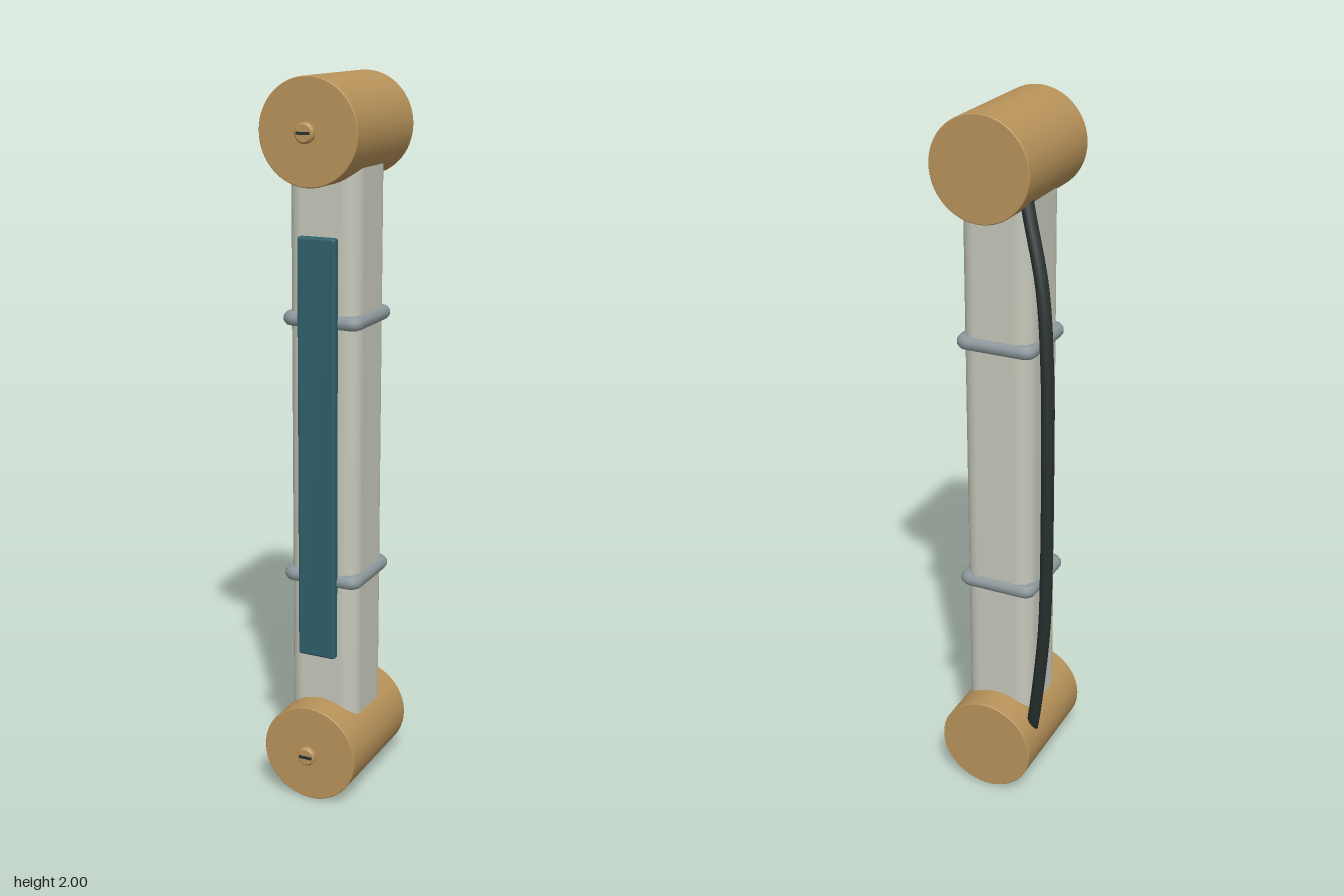
import * as THREE from 'three';
import { RoundedBoxGeometry } from 'three/addons/geometries/RoundedBoxGeometry.js';

const mat = (name, color, extra = {}) => {
  const m = new THREE.MeshStandardMaterial({ color, ...extra });
  m.name = name;
  return m;
};

const CX = 0.039, CZ = 0.006; // beam axis
const JOINTS = [0.139, 1.861]; // joint heights

export function createModel() {
  const brass = mat('brass', 0xb8935a);
  const grey = mat('pale grey', 0xc6c8ba);
  const teal = mat('teal', 0x2f606b);
  const steel = mat('steel', 0x8d989c);
  const black = mat('cable black', 0x28312f);

  const model = new THREE.Group();
  model.name = 'armLink';
  const add = (name, geometry, material, x = 0, y = 0, z = 0) => {
    const mesh = new THREE.Mesh(geometry, material);
    mesh.name = name;
    mesh.position.set(x, y, z);
    model.add(mesh);
    return mesh;
  };

  // Closed disc along z with a small chamfer on both rims
  const drum = (r, depth, bevel, sides) => {
    const h = depth / 2;
    // repeated points keep the rims sharp
    const pts = [[0, -h], [r - bevel, -h], [r - bevel, -h], [r, -h + bevel], [r, -h + bevel],
      [r, h - bevel], [r, h - bevel], [r - bevel, h], [r - bevel, h], [0, h]];
    const g = new THREE.LatheGeometry(pts.map(p => new THREE.Vector2(...p)), sides);
    return g.rotateX(Math.PI / 2);
  };

  // Square section with rounded corners
  const roundedSquare = (half, r) => {
    const s = new THREE.Shape();
    const k = half - r;
    s.moveTo(half, -k);
    s.absarc(k, k, r, 0, Math.PI / 2);
    s.absarc(-k, k, r, Math.PI / 2, Math.PI);
    s.absarc(-k, -k, r, Math.PI, Math.PI * 1.5);
    s.absarc(k, -k, r, Math.PI * 1.5, Math.PI * 2);
    return s;
  };

  // Beam between the joint centres
  const length = JOINTS[1] - JOINTS[0];
  const beam = new THREE.ExtrudeGeometry(roundedSquare(0.102, 0.045),
    { depth: length, bevelEnabled: false, curveSegments: 8 });
  beam.rotateX(-Math.PI / 2);
  add('beam', beam, grey, CX, JOINTS[0], CZ);

  // Joint drums with slotted screws on the front
  JOINTS.forEach((y, i) => {
    const end = i ? 'upper' : 'lower';
    add(end + 'Joint', drum(0.139, 0.36, 0.002, 64), brass, CX, y, 0.005);
    add(end + 'Screw', drum(0.027, 0.02, 0.005, 24), brass, CX, y, 0.2);
    add(end + 'ScrewSlot', new THREE.BoxGeometry(0.037, 0.007, 0.006), black, CX, y, 0.2115);
  });

  // Front cover panel
  add('frontPanel', new RoundedBoxGeometry(0.111, 1.175, 0.026, 3, 0.008), teal, CX - 0.001, 1.003, 0.125);

  // Clamp bands around the beam
  const loop = roundedSquare(0.097, 0.014);
  loop.closePath();
  const corners = loop.extractPoints(5).shape;
  const path = new THREE.CurvePath();
  corners.forEach((p, i) => {
    const q = corners[(i + 1) % corners.length];
    if (p.distanceTo(q) > 1e-5) {
      path.add(new THREE.LineCurve3(new THREE.Vector3(p.x, 0, p.y), new THREE.Vector3(q.x, 0, q.y)));
    }
  });
  const band = new THREE.TubeGeometry(path, 160, 0.02, 10, true);
  [0.64, 1.365].forEach((y, i) => add(i ? 'upperBand' : 'lowerBand', band, steel, CX, y, CZ));

  // Bowed cable at the back, plugged into both joints
  const cablePoints = [[-0.03, 1.86, -0.065], [-0.06, 1.765, -0.1], [-0.126, 1.57, -0.154],
    [-0.155, 1.34, -0.184], [-0.163, 1.08, -0.197], [-0.157, 0.82, -0.186],
    [-0.141, 0.58, -0.163], [-0.098, 0.3, -0.12], [-0.07, 0.17, -0.092]];
  const cable = new THREE.CatmullRomCurve3(cablePoints.map(p => new THREE.Vector3(...p)));
  add('cable', new THREE.TubeGeometry(cable, 48, 0.018, 10), black);

  return model;
}
